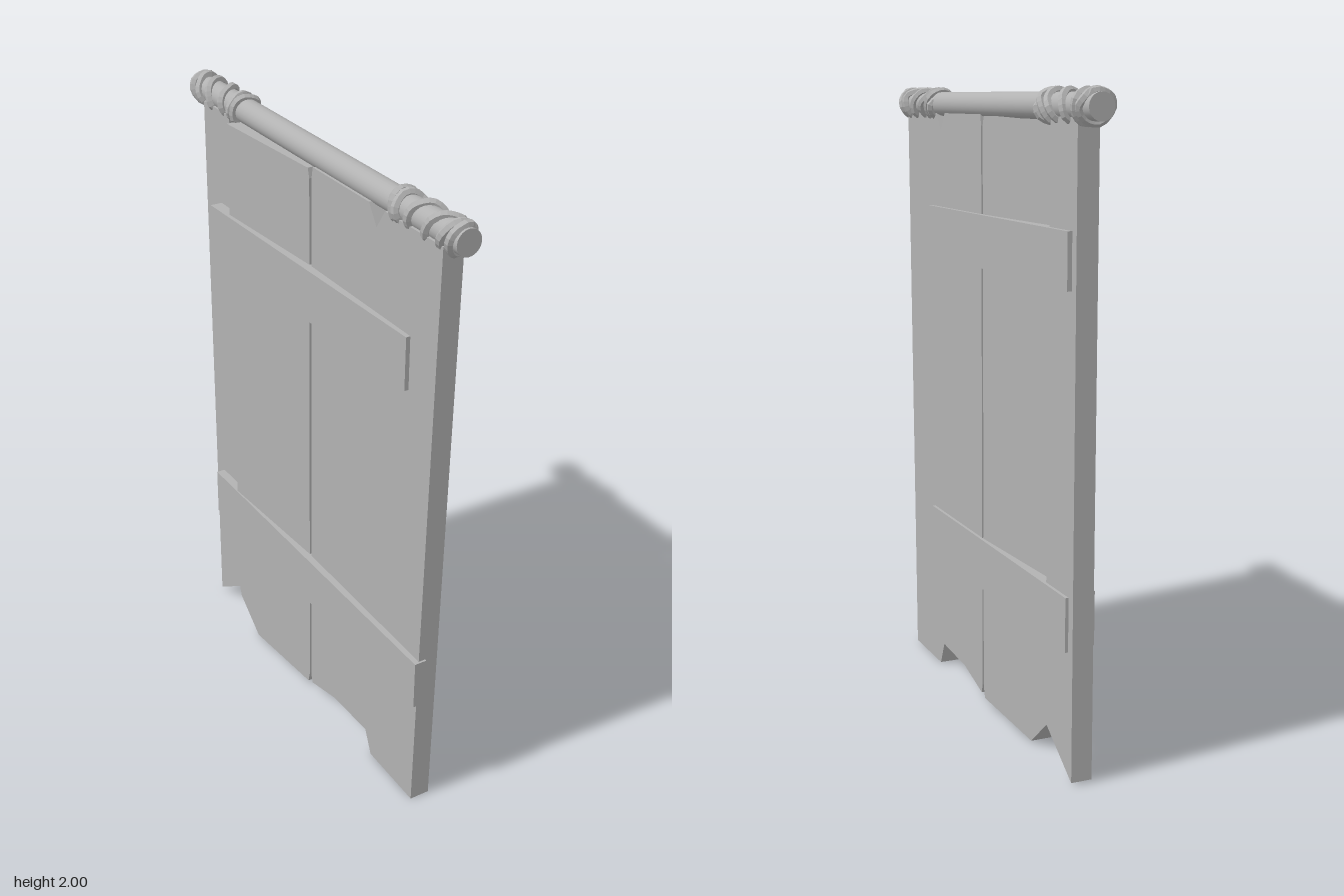
import * as THREE from 'three';

export function createModel() {
  const group = new THREE.Group();
  const grey = new THREE.MeshStandardMaterial({ color: 0xb2b2b2 });
  grey.name = 'weathered grey';

  const add = (name, geometry) => {
    const mesh = new THREE.Mesh(geometry, grey);
    mesh.name = name;
    group.add(mesh);
    return mesh;
  };

  // Lean a part sideways in x along its z length
  const lean = (geometry, slope, z0) => {
    const p = geometry.attributes.position;
    for (let i = 0; i < p.count; i++) p.setX(i, p.getX(i) + slope * (p.getZ(i) - z0));
    geometry.computeVertexNormals();
    return geometry;
  };

  // Plank cut from a [z, y] outline, thickness running from x = 0.036 to -0.03
  const plank = (name, outline, slope = 0, z0 = 0) => {
    const shape = new THREE.Shape(outline.map(([z, y]) => new THREE.Vector2(z, y)));
    const geo = new THREE.ExtrudeGeometry(shape, { depth: 0.066, bevelEnabled: false });
    geo.rotateY(-Math.PI / 2).translate(0.036, 0, 0);
    add(name, lean(geo, slope, z0));
  };

  plank('frontPlank', [
    [0.65, 0], [0.41, 0], [0.375, 0.08], [0.18, 0.07], [0.03, 0.03], [0.022, 0.06],
    [0.026, 1.88], [0.034, 1.92], [0.335, 1.92], [0.375, 1.86], [0.415, 1.92], [0.688, 1.92],
  ]);
  plank('middlePlank', [
    [0.012, 0.06], [0.003, 0.02], [-0.33, 0.003], [-0.445, 0.11], [-0.453, 0.14],
    [-0.447, 1.91], [0.006, 1.91], [0.014, 1.88],
  ], 0.054, 0.015);
  plank('rearPlank', [
    [-0.47, 0.145], [-0.482, 0.12], [-0.655, 0.008], [-0.652, 1.92], [-0.48, 1.92],
  ]);

  // Thin tongues closing the gaps between planks
  const box = (x0, x1, y0, y1, z0, z1) =>
    new THREE.BoxGeometry(x1 - x0, y1 - y0, z1 - z0)
      .translate((x0 + x1) / 2, (y0 + y1) / 2, (z0 + z1) / 2).toNonIndexed();
  add('frontTongue', box(-0.012, 0.012, 0.06, 1.87, 0.005, 0.035));
  add('rearTongue', box(-0.022, 0.0, 0.145, 1.91, -0.49, -0.44));

  // Cross battens on the +x face, and leaning ones on the -x face
  add('upperBattenLeft', box(0.0, 0.05, 1.445, 1.61, -0.625, 0.455));
  add('lowerBattenLeft', box(0.0, 0.046, 0.4, 0.565, -0.625, 0.455));
  add('upperBattenRight', lean(box(-0.07, -0.025, 1.445, 1.61, -0.55, 0.555), 0.024, -0.55));
  add('lowerBattenRight', lean(box(-0.06, -0.02, 0.4, 0.565, -0.6, 0.668), 0.01, -0.6));

  // Round pole across the top
  const pole = add('pole', new THREE.CylinderGeometry(0.039, 0.039, 1.486, 20));
  pole.rotation.x = Math.PI / 2;
  pole.position.set(0.01, 1.943, 0);

  // Rope wound around both pole ends, bunched at each end of the winding
  const stops = [0.715, 0.7, 0.655, 0.57, 0.485, 0.45, 0.43];
  const turns = stops.length - 1;
  const windRope = (name, side) => {
    const points = [];
    const steps = turns * 10;
    for (let i = 0; i <= steps; i++) {
      const t = i / 10;
      const k = Math.min(Math.floor(t), turns - 1);
      const z = THREE.MathUtils.lerp(stops[k], stops[k + 1], t - k) + 0.012 * Math.sin(t * Math.PI * 2 + k * 0.9);
      const r = i === 0 || i === steps ? 0.025 : 0.042 + 0.002 * Math.sin(i * 2.3);
      const a = t * Math.PI * 2 + 0.6;
      points.push(new THREE.Vector3(0.01 + r * Math.cos(a), 1.943 + r * Math.sin(a), side * z));
    }
    const curve = new THREE.CatmullRomCurve3(points);
    const geo = new THREE.TubeGeometry(curve, steps * 2, 0.0135, 6).toNonIndexed();
    geo.computeVertexNormals();
    add(name, geo);
  };
  windRope('frontRope', 1);
  windRope('rearRope', -1);

  return group;
}
